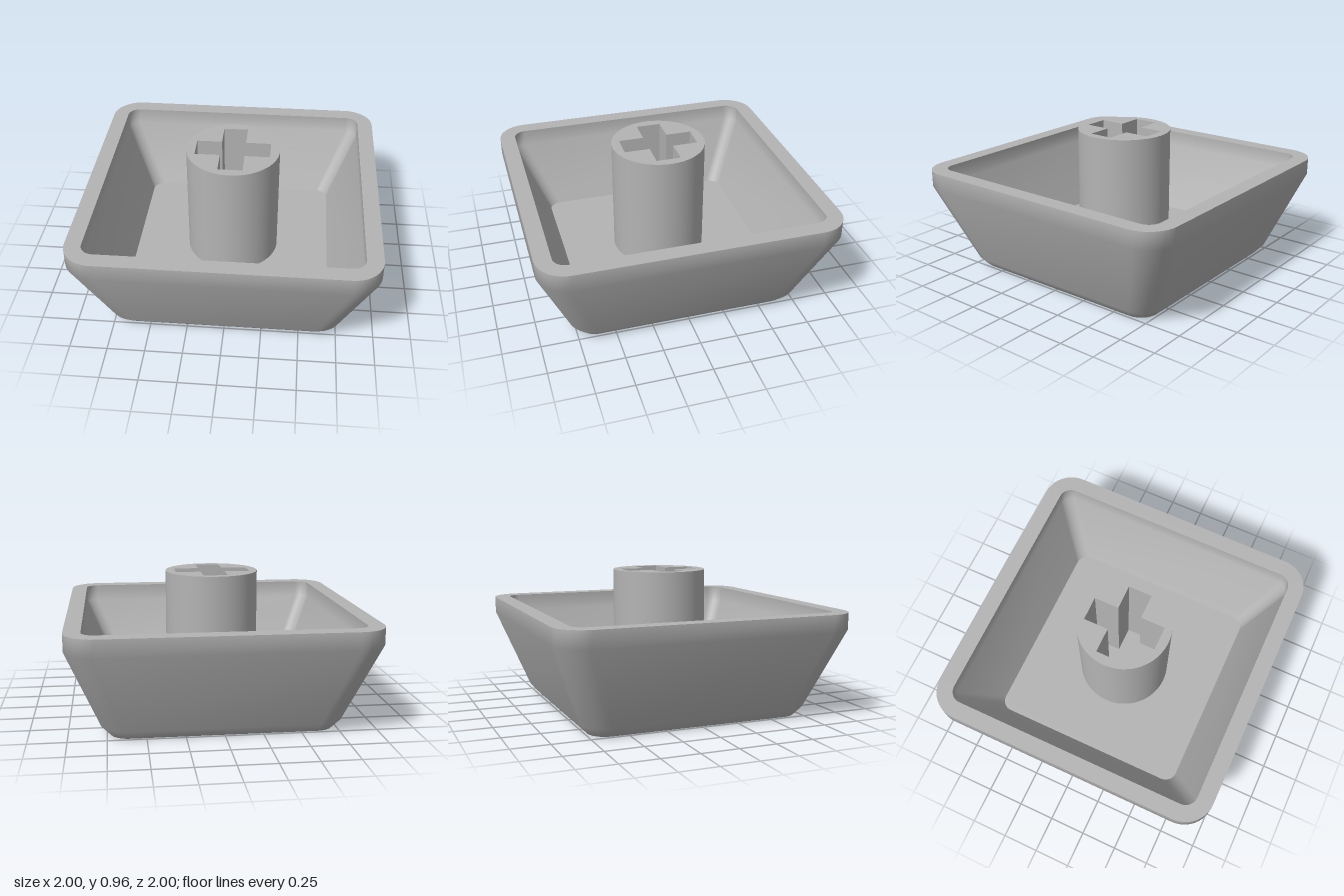
import * as THREE from 'three';
import { toCreasedNormals } from 'three/addons/utils/BufferGeometryUtils.js';

const ARC = 10; // segments per rounded corner
const RIM = 0.715, FLOOR = 0.16, STEM_TOP = 0.96;

// Points of a rounded square ring: half width h, height y, corner radius r
function ring([h, y, r]) {
  const points = [];
  for (let k = 0; k < 4; k++) {
    const mid = (k + 0.5) * Math.PI / 2;
    const cx = Math.sign(Math.cos(mid)) * (h - r);
    const cz = Math.sign(Math.sin(mid)) * (h - r);
    for (let i = 0; i <= ARC; i++) {
      const a = (k + i / ARC) * Math.PI / 2;
      points.push(cx + r * Math.cos(a), y, cz + r * Math.sin(a));
    }
  }
  return points;
}

// Smooth skin through a chain of rings
function loft(rings) {
  const n = 4 * (ARC + 1), index = [];
  for (let i = 0; i < rings.length - 1; i++) {
    for (let j = 0; j < n; j++) {
      const a = i * n + j, b = i * n + (j + 1) % n;
      index.push(a, a + n, b, b, a + n, b + n);
    }
  }
  const g = new THREE.BufferGeometry();
  g.setAttribute('position', new THREE.Float32BufferAttribute(rings.flatMap(ring), 3));
  g.setIndex(index);
  g.computeVertexNormals();
  return g;
}

// Flat rounded square plate, facing up or down
function plate([h, y, r], up) {
  const p = ring([h, y, r]), shape = new THREE.Shape();
  for (let i = 0; i < p.length; i += 3) {
    if (i === 0) shape.moveTo(p[i], p[i + 2]);
    else shape.lineTo(p[i], p[i + 2]);
  }
  return new THREE.ShapeGeometry(shape)
    .rotateX(up ? -Math.PI / 2 : Math.PI / 2).translate(0, y, 0);
}

export function createModel() {
  const group = new THREE.Group();
  const plastic = new THREE.MeshStandardMaterial({ color: 0xb4b4b4 });
  plastic.name = 'grey plastic';
  const add = (name, geometry) => {
    const mesh = new THREE.Mesh(geometry, plastic);
    mesh.name = name;
    group.add(mesh);
  };

  // Hollow tapered shell
  const base = [0.73, 0, 0.12];
  const outerRim = [1, RIM, 0.2];
  const innerRim = [0.89, RIM, 0.085];
  const innerFloor = [0.685, FLOOR, 0.08];
  add('outerWall', loft([base, [0.79, 0.065, 0.17], [1, 0.6, 0.2], outerRim]));
  add('rim', loft([outerRim, innerRim]));
  add('innerWall', loft([innerRim, [0.89, 0.6, 0.085], innerFloor]));
  add('innerFloor', plate(innerFloor, true));
  add('basePlate', plate(base, false));

  // Round stem with a cross-shaped socket
  const stem = new THREE.Shape().absarc(0, 0, 0.32, 0, Math.PI * 2);
  const L = 0.255, W = 0.083;
  stem.holes.push(new THREE.Path([
    [W, W], [W, L], [-W, L], [-W, W], [-L, W], [-L, -W],
    [-W, -W], [-W, -L], [W, -L], [W, -W], [L, -W], [L, W],
  ].map(([x, y]) => new THREE.Vector2(x, y))));
  const stemGeometry = new THREE.ExtrudeGeometry(stem, {
    depth: STEM_TOP - FLOOR, bevelEnabled: false, curveSegments: 48,
  }).rotateX(-Math.PI / 2).translate(0, FLOOR, 0);
  add('stem', toCreasedNormals(stemGeometry, 0.6));

  return group;
}
